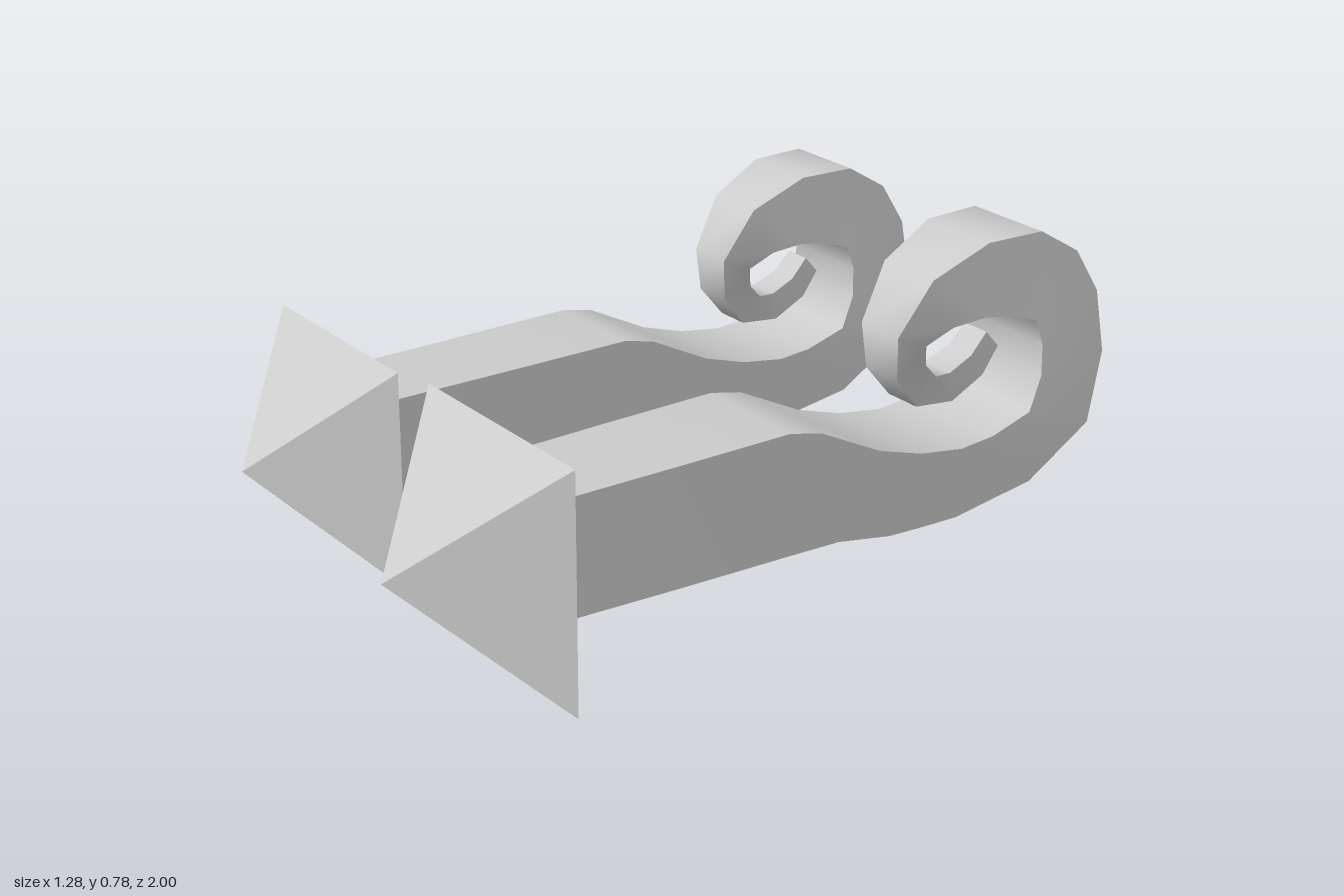
import * as THREE from 'three';

const smooth = new THREE.MeshStandardMaterial({ color: 0xcccccc });
const flat = new THREE.MeshStandardMaterial({ color: 0xcccccc, flatShading: true });

// Cross-sections along the scroll: [outer z, outer y, inner z, inner y, half width]
const SECTIONS = [
  [0.67, 0.155, 0.67, 0.45, 0.143],
  [0.3, 0.148, 0.3, 0.453, 0.15],
  [0, 0.143, 0, 0.455, 0.153],
  [-0.15, 0.14, -0.09, 0.435, 0.155],
  [-0.31, 0.112, -0.27, 0.345, 0.155],
  [-0.4, 0.108, -0.4, 0.305, 0.155],
  [-0.52, 0.105, -0.53, 0.285, 0.155],
  [-0.76, 0.14, -0.63, 0.293, 0.155],
  [-0.955, 0.25, -0.755, 0.325, 0.149],
  [-1.0, 0.43, -0.795, 0.41, 0.142],
  [-0.975, 0.595, -0.8, 0.49, 0.135],
  [-0.905, 0.71, -0.78, 0.555, 0.129],
  [-0.79, 0.78, -0.72, 0.575, 0.121],
  [-0.63, 0.78, -0.63, 0.59, 0.112],
  [-0.475, 0.71, -0.545, 0.575, 0.09],
  [-0.39, 0.575, -0.48, 0.535, 0.068],
  [-0.4, 0.46, -0.49, 0.48, 0.058],
  [-0.47, 0.375, -0.53, 0.44, 0.052],
  [-0.59, 0.36, -0.58, 0.437, 0.047],
  [-0.69, 0.405, -0.65, 0.465, 0.043],
  [-0.74, 0.47, -0.7, 0.515, 0.04],
];

// Four strips, smooth along the curl but sharp at the corners, plus end caps
function scrollGeometry(mapZ, mapY, widthScale) {
  const rings = SECTIONS.map(([oz, oy, iz, iy, w]) => {
    const h = w * widthScale;
    const o = [mapY(oy), mapZ(oz)], n = [mapY(iy), mapZ(iz)];
    return [[h, ...o], [h, ...n], [-h, ...n], [-h, ...o]];
  });
  const pos = [], idx = [];
  for (let s = 0; s < 4; s++) {
    const base = pos.length / 3;
    rings.forEach((r, i) => {
      pos.push(...r[s], ...r[(s + 1) % 4]);
      if (i === 0) return;
      const p = base + 2 * (i - 1);
      idx.push(p, p + 2, p + 1, p + 1, p + 2, p + 3);
    });
  }
  const cap = (corners) => {
    const b = pos.length / 3;
    corners.forEach((c) => pos.push(...c));
    idx.push(b, b + 1, b + 2, b, b + 2, b + 3);
  };
  cap(rings[0]);
  cap([...rings[rings.length - 1]].reverse());
  const g = new THREE.BufferGeometry();
  g.setAttribute('position', new THREE.Float32BufferAttribute(pos, 3));
  g.setIndex(idx);
  g.computeVertexNormals();
  return g;
}

// Square frustum along z, from half width h0 at z0 to half width h1 at z1
function squareTaper(name, h0, z0, h1, z1, y) {
  const g = new THREE.CylinderGeometry(h1 * Math.SQRT2, h0 * Math.SQRT2, z1 - z0, 4);
  g.rotateY(Math.PI / 4).rotateX(Math.PI / 2).translate(0, y, (z0 + z1) / 2);
  const m = new THREE.Mesh(g, flat);
  m.name = name;
  return m;
}

function makeScroll(name, x, mapZ, mapY, widthScale) {
  const group = new THREE.Group();
  group.name = name;
  group.position.x = x;
  const shaft = new THREE.Mesh(scrollGeometry(mapZ, mapY, widthScale), smooth);
  shaft.name = 'curledShaft';
  group.add(shaft);
  return group;
}

export function createModel() {
  const model = new THREE.Group();
  model.name = 'scrollSpikes';

  // Larger spike, its head bevelled back to the shaft
  const left = makeScroll('leftSpike', 0.342, (z) => z, (y) => y, 1);
  left.add(squareTaper('pyramidHead', 0.297, 0.688, 0, 0.998, 0.297));
  left.add(squareTaper('headBevel', 0.145, 0.667, 0.297, 0.688, 0.297));

  // Smaller spike, its head flat at the back
  const right = makeScroll('rightSpike', -0.365,
    (z) => (z > 0.5 ? 0.692 : -0.98 + 0.94 * (z + 1)),
    (y) => 0.3 + 0.952 * (y - 0.3), 0.9);
  right.add(squareTaper('pyramidHead', 0.277, 0.692, 0, 0.967, 0.3));

  model.add(left, right);
  return model;
}
